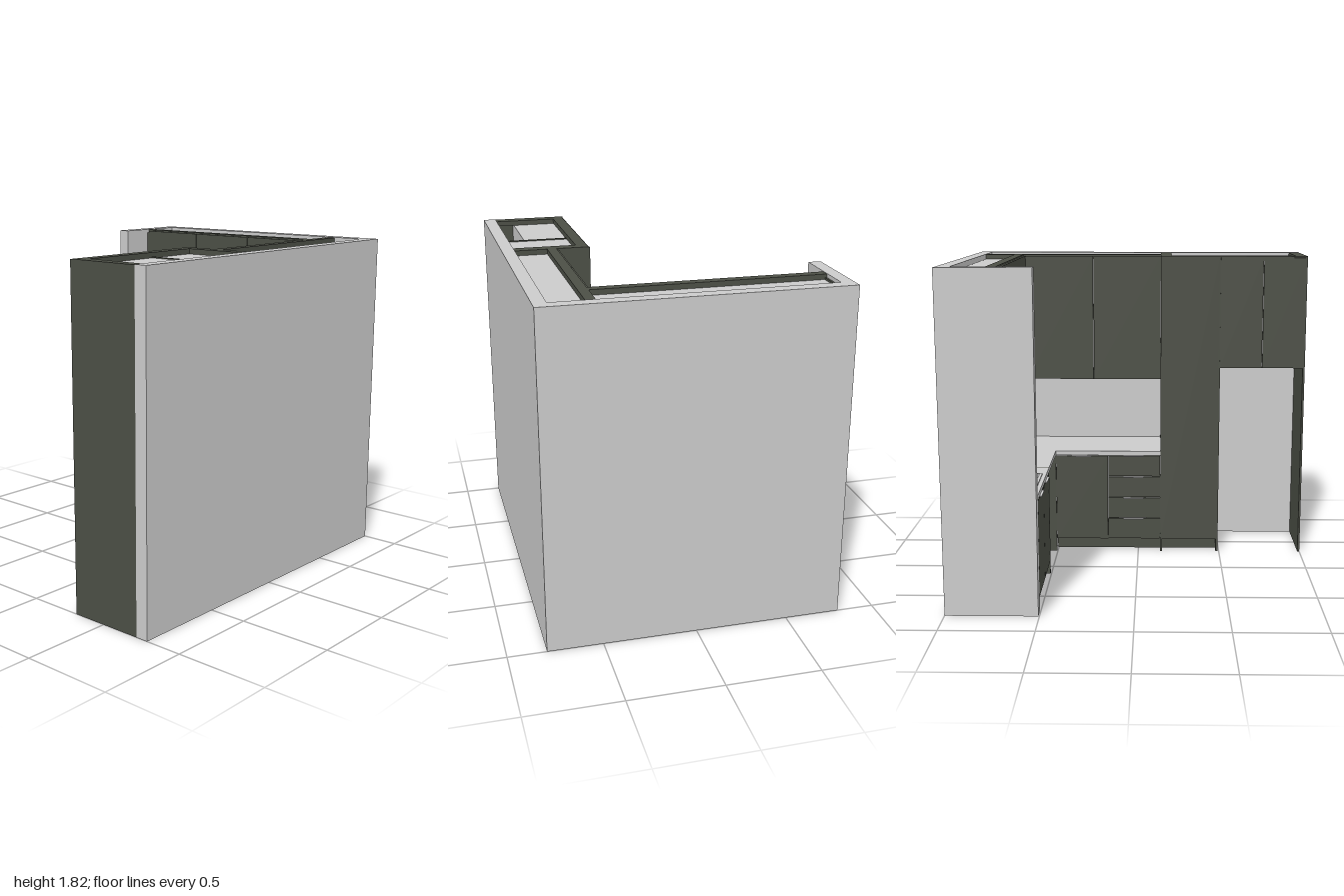
import * as THREE from 'three';

const material = (name, color) => {
  const m = new THREE.MeshStandardMaterial({ color });
  m.name = name;
  return m;
};

export function createModel() {
  const root = new THREE.Group();
  root.name = 'cornerKitchen';
  const pale = material('paleGrey', 0xcbcbcb);
  const dark = material('darkOlive', 0x4c4f46);

  const group = (name) => {
    const g = new THREE.Group();
    g.name = name;
    root.add(g);
    return g;
  };
  // Box given by its limits on each axis
  const box = (parent, name, mat, x0, x1, y0, y1, z0, z1) => {
    const m = new THREE.Mesh(new THREE.BoxGeometry(x1 - x0, y1 - y0, z1 - z0), mat);
    m.position.set((x0 + x1) / 2, (y0 + y1) / 2, (z0 + z1) / 2);
    m.name = name;
    parent.add(m);
    return m;
  };

  const H = 1.82, TOP = 1.79, KICK = 0.08, BASE = 0.61, COUNTER = 0.636, UP = 1.055;
  const T = 0.012, GAP = 0.0015;
  // Fronts facing -z, between the given x stops
  const frontsZ = (g, name, stops, y0, y1, z) => {
    for (let i = 0; i < stops.length - 1; i++)
      box(g, name, dark, stops[i] + GAP, stops[i + 1] - GAP, y0, y1, z, z + T);
  };
  // Fronts facing -x, between the given z stops
  const frontsX = (g, name, stops, y0, y1, x) => {
    for (let i = 0; i < stops.length - 1; i++)
      box(g, name, dark, x, x + T, y0, y1, stops[i] + GAP, stops[i + 1] - GAP);
  };

  // Room walls
  const walls = group('walls');
  box(walls, 'longWall', pale, -1, 1, 0, H, 0.725, 0.795);
  box(walls, 'sideWall', pale, 0.93, 1, 0, H, -0.73, 0.725);
  box(walls, 'returnWall', pale, 0.505, 1, 0, H, -0.798, -0.73);

  // Base units along the long wall
  const base = group('longBaseUnits');
  box(base, 'baseCarcass', pale, -0.135, 0.928, KICK + 0.01, BASE, 0.318, 0.724);
  for (const x of [0.915, 0.511, 0.499, 0.191, 0.179, -0.12])
    box(base, 'carcassSide', pale, x - 0.006, x + 0.006, 0.002, KICK + 0.01, 0.39, 0.724);
  box(base, 'toeKick', dark, -0.485, 0.505, 0, KICK, 0.375, 0.387);
  box(base, 'cornerEndPanel', dark, 0.505, 0.93, 0, BASE, 0.305, 0.317);
  frontsZ(base, 'cupboardDoor', [0.185, 0.505], KICK, BASE - 0.004, 0.305);
  const drawerH = (BASE - KICK) / 4;
  for (let i = 0; i < 4; i++) {
    const y = KICK + i * drawerH;
    frontsZ(base, 'drawerFront', [-0.135, 0.185], y + GAP, y + drawerH - 0.003, 0.305);
    box(base, 'drawerHandle', pale, -0.033, 0.09, y + drawerH - 0.006, y + drawerH - 0.001, 0.288, 0.308);
  }
  box(base, 'doorHandle', pale, 0.287, 0.408, BASE - 0.006, BASE - 0.001, 0.288, 0.308);

  // Sink units along the side wall
  const sinkUnits = group('sinkBaseUnits');
  const ZS = [-0.718, -0.425, -0.132];
  frontsX(sinkUnits, 'sinkDoor', ZS, KICK, BASE - 0.004, 0.505);
  for (let i = 0; i < 2; i++) {
    const a = ZS[i], b = ZS[i + 1], c = i ? -0.28 : -0.57;
    box(sinkUnits, 'carcassFloor', pale, 0.52, 0.928, KICK + 0.005, KICK + 0.017, a, b);
    for (const z of [a + 0.006, b - 0.006])
      box(sinkUnits, 'carcassSide', pale, 0.59, 0.928, 0.002, BASE, z - 0.006, z + 0.006);
    box(sinkUnits, 'doorHandle', pale, 0.493, 0.508, BASE - 0.006, BASE - 0.001, c - 0.06, c + 0.06);
  }
  box(sinkUnits, 'toeKick', dark, 0.575, 0.587, 0, KICK, -0.73, -0.132);
  box(sinkUnits, 'endPanel', dark, 0.505, 0.93, 0, COUNTER + 0.001, -0.13, -0.118);
  box(sinkUnits, 'wallFiller', dark, 0.505, 0.56, 0, COUNTER + 0.004, -0.73, -0.719);

  // Worktops, the side one with a cut-out for the sink
  const tops = group('worktops');
  box(tops, 'longWorktop', pale, -0.135, 0.505, BASE, COUNTER, 0.305, 0.725);
  const rect = (P, x0, x1, z0, z1) => {
    const p = new P();
    p.moveTo(x0, -z0);
    p.lineTo(x0, -z1);
    p.lineTo(x1, -z1);
    p.lineTo(x1, -z0);
    p.closePath();
    return p;
  };
  const plate = (name, outer, hole, y0, y1) => {
    const s = rect(THREE.Shape, ...outer);
    s.holes.push(rect(THREE.Path, ...hole));
    const geo = new THREE.ExtrudeGeometry(s, { depth: y1 - y0, bevelEnabled: false });
    geo.rotateX(-Math.PI / 2);
    const m = new THREE.Mesh(geo, pale);
    m.position.y = y0;
    m.name = name;
    tops.add(m);
  };
  const bowl = [0.543, 0.84, -0.563, -0.282];
  plate('sideWorktop', [0.505, 0.93, -0.718, 0.725], bowl, BASE, COUNTER);
  plate('sinkRim', [0.527, 0.856, -0.578, -0.267], bowl, COUNTER, COUNTER + 0.006);
  plate('sinkWalls', [0.537, 0.846, -0.569, -0.276], bowl, 0.5, BASE);
  box(tops, 'sinkFloor', pale, 0.537, 0.846, 0.49, 0.5, -0.569, -0.276);

  // Wall cupboards on both walls
  const upper = group('wallCupboards');
  box(upper, 'longCarcass', pale, -0.135, 0.928, UP + 0.002, TOP, 0.493, 0.724);
  box(upper, 'sideCarcass', pale, 0.703, 0.928, UP + 0.002, TOP, -0.718, 0.493);
  frontsZ(upper, 'longDoor', [-0.135, 0.278, 0.69], UP, H - 0.01, 0.48);
  frontsX(upper, 'sideDoor', [-0.718, -0.318, 0.082, 0.48], UP, H - 0.01, 0.69);
  box(upper, 'cornerPost', dark, 0.69, 0.703, UP, H - 0.01, 0.48, 0.493);
  box(upper, 'longTopFiller', dark, -0.135, 0.93, TOP, H - 0.002, 0.493, 0.545);
  box(upper, 'sideTopFiller', dark, 0.703, 0.755, TOP, H - 0.002, -0.73, 0.493);
  box(upper, 'endPanel', dark, 0.69, 0.93, UP, TOP + 0.01, -0.73, -0.719);

  // Tall larder and the open bay for a fridge
  const tall = group('tallUnits');
  const sides = [[-1, -0.988], [-0.492, -0.48], [-0.147, -0.135]];
  sides.forEach(([a, b], i) =>
    box(tall, 'tallSidePanel', dark, a, b, 0, i === 1 ? TOP + 0.006 : H - 0.004, 0.306, 0.725));
  box(tall, 'larderCarcass', pale, -0.48, -0.147, KICK + 0.01, TOP, 0.318, 0.724);
  frontsZ(tall, 'larderDoor', [-0.484, -0.135], KICK, H - 0.01, 0.305);
  box(tall, 'bridgeCarcass', pale, -0.988, -0.492, 1.16, TOP, 0.318, 0.62);
  box(tall, 'bridgeUnderside', dark, -0.988, -0.492, 1.152, 1.16, 0.318, 0.62);
  frontsZ(tall, 'bridgeDoor', [-0.998, -0.743, -0.488], 1.152, H - 0.01, 0.305);
  box(tall, 'frontTopFiller', dark, -1, -0.135, TOP, H - 0.002, 0.314, 0.375);
  box(tall, 'leftTopFiller', dark, -0.2, -0.135, TOP, H - 0.002, 0.375, 0.725);
  box(tall, 'rightTopFiller', dark, -1, -0.935, TOP, H - 0.002, 0.375, 0.725);

  return root;
}
